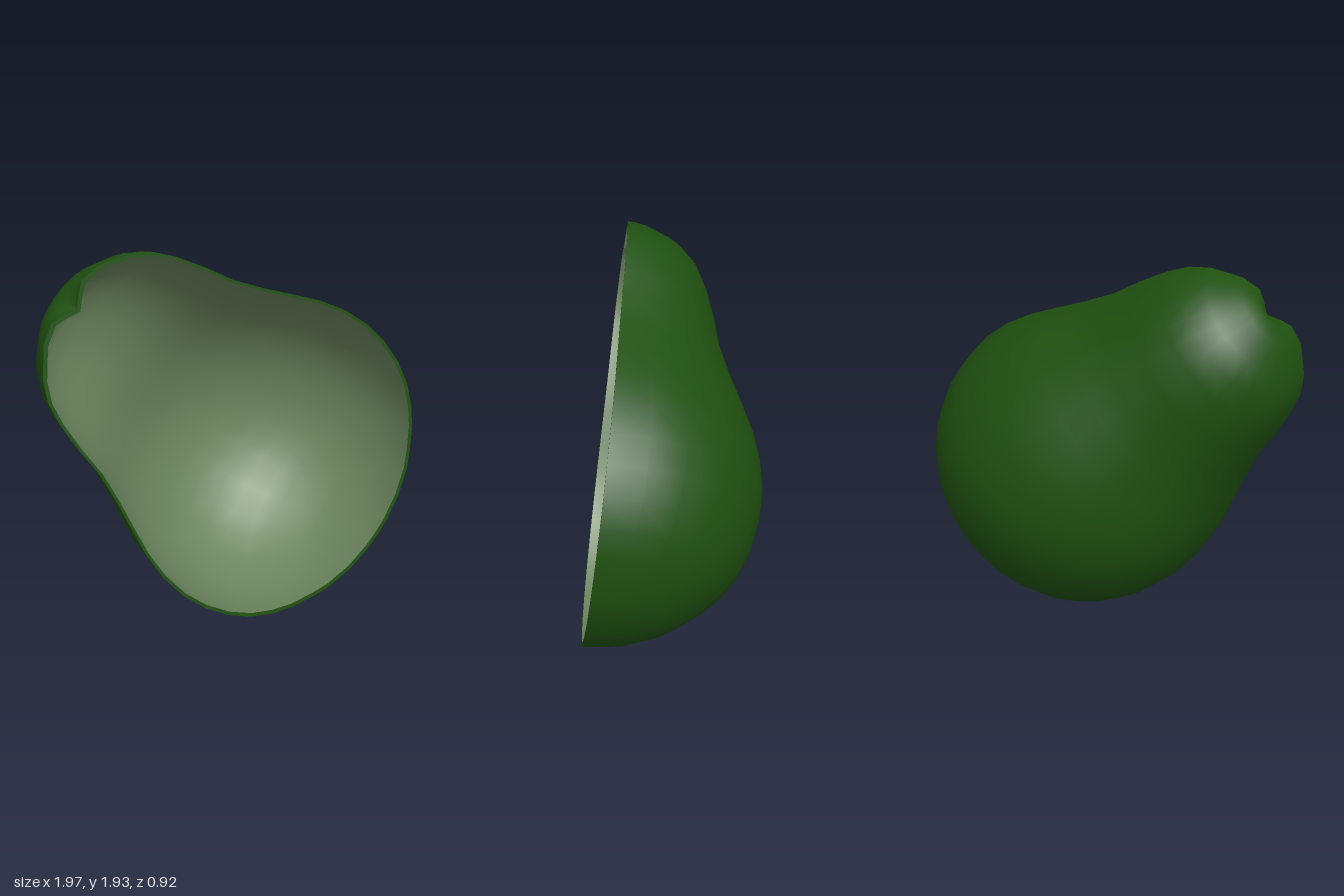
import * as THREE from 'three';

// Pear-shaped profile: [distance along the axis from the stem dimple, radius]
const PROFILE = [
  [0.03, 0], [-0.005, 0.06], [-0.028, 0.115], [-0.003, 0.21], [0.09, 0.34], [0.174, 0.41],
  [0.277, 0.458], [0.43, 0.507], [0.59, 0.547], [0.747, 0.61], [0.9, 0.68], [1.048, 0.745],
  [1.195, 0.79], [1.355, 0.812], [1.5, 0.805], [1.642, 0.773], [1.768, 0.718], [1.87, 0.645],
  [1.953, 0.563], [2.03, 0.455], [2.08, 0.372], [2.133, 0.23], [2.158, 0.09], [2.162, 0],
];
const HALF_SEGMENTS = 14;

// Profile shrunk about the middle of the fruit
function profilePoints(scale) {
  const mid = 1.08;
  return PROFILE.map(([t, r]) => new THREE.Vector2(r * scale, mid + (t - mid) * scale));
}

// Half turn on the -z side of the cut plane
function halfLathe(points) {
  return new THREE.LatheGeometry(points, HALF_SEGMENTS, Math.PI / 2, Math.PI);
}

// Closed outline of the cut face
function outline(points) {
  const mirrored = points.slice(1, -1).reverse().map((p) => new THREE.Vector2(-p.x, p.y));
  return [...points, ...mirrored];
}

export function createModel() {
  const green = new THREE.MeshStandardMaterial({ color: 0x1f5010 });
  const pale = new THREE.MeshStandardMaterial({ color: 0x6a835d });
  const outer = profilePoints(1);
  const inner = profilePoints(0.98);

  // Fruit axis runs from the stem (upper right of the model) down to the round end
  const half = new THREE.Group();
  half.name = 'fruitHalf';
  half.position.set(-0.825, 1.76, 0);
  half.rotation.z = Math.atan2(-0.727, -0.687);

  const add = (name, geometry, material) => {
    const mesh = new THREE.Mesh(geometry, material);
    mesh.name = name;
    half.add(mesh);
  };

  // Outer skin, hollow lining facing inwards, and the thin cut edge between them
  add('skin', halfLathe(outer), green);
  add('lining', halfLathe(inner.slice().reverse()), pale);
  const edge = new THREE.Shape(outline(outer));
  edge.holes.push(new THREE.Path(outline(inner)));
  add('cutEdge', new THREE.ShapeGeometry(edge), green);

  // The open side leans back slightly
  const tilt = new THREE.Group();
  tilt.name = 'tiltedShell';
  tilt.rotation.x = -Math.atan(0.138);
  tilt.position.z = 0.466;
  tilt.add(half);

  const model = new THREE.Group();
  model.name = 'hollowFruitHalf';
  model.add(tilt);
  return model;
}
